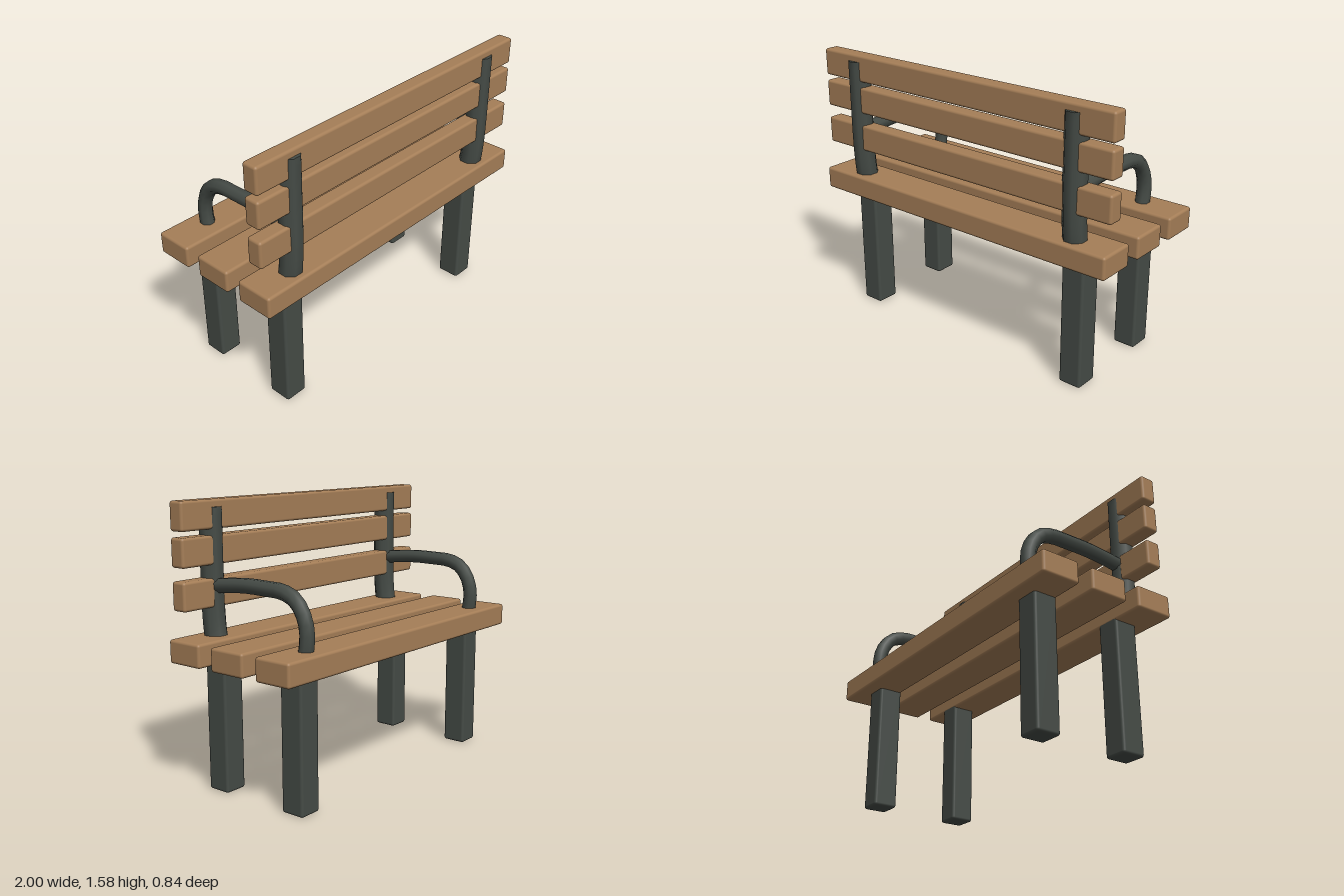
import * as THREE from 'three';
import { toCreasedNormals } from 'three/addons/utils/BufferGeometryUtils.js';
import { RoundedBoxGeometry } from 'three/addons/geometries/RoundedBoxGeometry.js';

const wood = new THREE.MeshStandardMaterial({ name: 'wood', color: 0xa57e57 });
const metal = new THREE.MeshStandardMaterial({ name: 'darkMetal', color: 0x454b46 });

function addBox(parent, name, material, size, position) {
  const mesh = new THREE.Mesh(new RoundedBoxGeometry(...size, 3, 0.015), material);
  mesh.name = name;
  mesh.position.set(...position);
  parent.add(mesh);
}

// Capped eight-sided pipe along a curve in the side plane; points are [z, y]
function pipeGeometry(points, radius, steps) {
  const sides = 8;
  const curve = new THREE.CatmullRomCurve3(points.map(([z, y]) => new THREE.Vector3(0, y, z)));
  const xAxis = new THREE.Vector3(1, 0, 0);
  const positions = [], index = [];
  for (let i = 0; i <= steps; i++) {
    const centre = curve.getPointAt(i / steps);
    const across = curve.getTangentAt(i / steps).cross(xAxis);
    for (let j = 0; j < sides; j++) {
      const angle = ((j + 0.5) / sides) * Math.PI * 2;
      const p = centre.clone()
        .addScaledVector(xAxis, Math.cos(angle) * radius)
        .addScaledVector(across, Math.sin(angle) * radius);
      positions.push(p.x, p.y, p.z);
    }
  }
  for (let i = 0; i < steps; i++) {
    for (let j = 0; j < sides; j++) {
      const k = (j + 1) % sides;
      const a = i * sides + j, b = i * sides + k;
      index.push(a, b, b + sides, a, b + sides, a + sides);
    }
  }
  const last = steps * sides;
  for (let j = 1; j < sides - 1; j++) {
    index.push(0, j + 1, j, last, last + j, last + j + 1);
  }
  const geometry = new THREE.BufferGeometry();
  geometry.setAttribute('position', new THREE.Float32BufferAttribute(positions, 3));
  geometry.setIndex(index);
  return toCreasedNormals(geometry, 1);
}

export function createModel() {
  const bench = new THREE.Group();
  bench.name = 'bench';

  // Seat slats
  for (const z of [-0.31, 0, 0.31]) {
    addBox(bench, 'seatSlat', wood, [2, 0.128, 0.224], [0, 0.791, z]);
  }

  // Backrest slats
  for (const y of [1.087, 1.312, 1.498]) {
    addBox(bench, 'backSlat', wood, [2, 0.155, 0.092], [0, y, 0.336]);
  }

  // Curved back posts and armrests
  const postGeometry = pipeGeometry([
    [0.275, 0.68], [0.305, 0.77], [0.326, 0.86], [0.336, 0.97],
    [0.34, 1.1], [0.34, 1.3], [0.34, 1.535],
  ], 0.065, 18);
  const armGeometry = pipeGeometry([
    [0.33, 1.118], [0.2, 1.132], [0.08, 1.141], [-0.06, 1.14], [-0.17, 1.135],
    [-0.25, 1.102], [-0.306, 1.025], [-0.325, 0.94], [-0.316, 0.85], [-0.3, 0.78],
  ], 0.041, 18);

  for (const side of [-1, 1]) {
    const x = side * 0.757;
    const frame = new THREE.Group();
    frame.name = side < 0 ? 'rightFrame' : 'leftFrame';
    for (const z of [-0.269, 0.269]) {
      addBox(frame, 'leg', metal, [0.135, 0.755, 0.14], [x, 0.3775, z]);
    }
    const post = new THREE.Mesh(postGeometry, metal);
    post.name = 'backPost';
    post.position.x = x;
    const arm = new THREE.Mesh(armGeometry, metal);
    arm.name = 'armrest';
    arm.position.x = x;
    frame.add(post, arm);
    bench.add(frame);
  }
  return bench;
}
